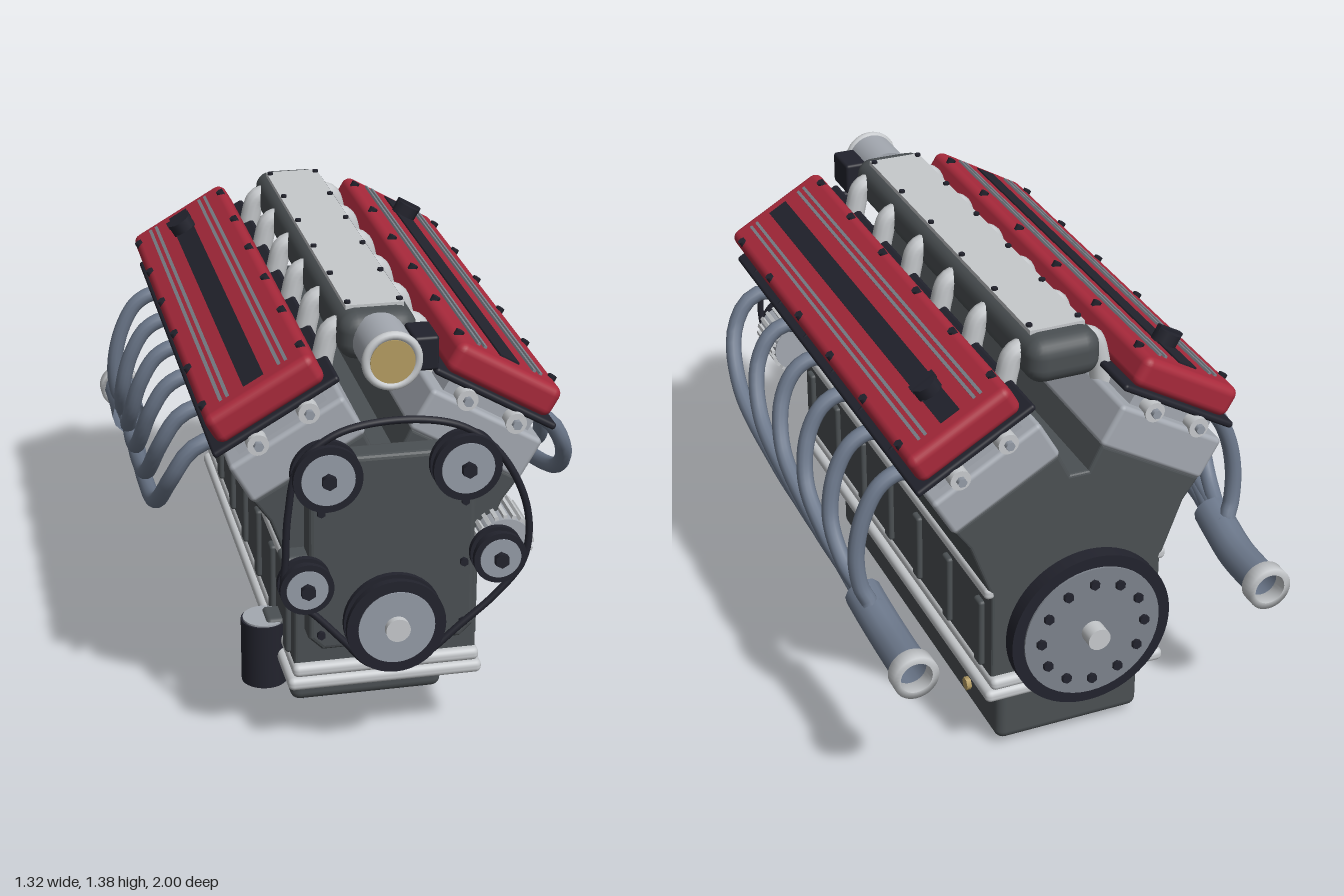
import * as THREE from 'three';
import { RoundedBoxGeometry } from 'three/addons/geometries/RoundedBoxGeometry.js';

const mat = (name, color, side = THREE.FrontSide) => {
  const m = new THREE.MeshStandardMaterial({ color, side });
  m.name = name;
  return m;
};

export function createModel() {
  const red = mat('coverRed', 0xa8293b);
  const iron = mat('castIron', 0x4b5053);
  const alloy = mat('headAlloy', 0xa4a9b1);
  const silver = mat('brightSilver', 0xc6c9cc);
  const steel = mat('pulleySteel', 0x949ba6);
  const pipe = mat('exhaustSteel', 0x6c788b, THREE.DoubleSide);
  const black = mat('rubberBlack', 0x22232d);
  const gold = mat('brass', 0xb59d62);
  const wheel = mat('flywheelGrey', 0x7d838c);

  const engine = new THREE.Group();
  engine.name = 'engine';

  // Helpers
  const add = (parent, name, geo, material, x = 0, y = 0, z = 0) => {
    const m = new THREE.Mesh(geo, material);
    m.name = name;
    m.position.set(x, y, z);
    parent.add(m);
    return m;
  };
  const sub = (name, parent = engine) => {
    const g = new THREE.Group();
    g.name = name;
    parent.add(g);
    return g;
  };
  const rbox = (w, h, d, r) => new RoundedBoxGeometry(w, h, d, 3, r);
  const box = (w, h, d) => new THREE.BoxGeometry(w, h, d);
  const rod = (r, len, seg = 32, r2 = r) => new THREE.CylinderGeometry(r, r2, len, seg);
  const rodZ = (r, len, seg = 32, r2 = r) => rod(r, len, seg, r2).rotateX(Math.PI / 2);
  const rodX = (r, len, seg = 32) => rod(r, len, seg).rotateZ(Math.PI / 2);
  const tube = (pts, r, seg = 32, closed = false) => new THREE.TubeGeometry(
    new THREE.CatmullRomCurve3(pts.map(p => new THREE.Vector3(...p)), closed), seg, r, 12, closed);
  const extrude = (pts, depth, bevel) => new THREE.ExtrudeGeometry(
    new THREE.Shape(pts.map(p => new THREE.Vector2(...p))),
    { depth: depth - 2 * bevel, bevelEnabled: bevel > 0, bevelSize: bevel, bevelThickness: bevel, bevelOffset: -bevel, bevelSegments: 3 })
    .translate(0, 0, bevel - depth / 2);
  const mirrored = half => [...half, ...half.map(([x, y]) => [-x, y]).reverse()];
  const sides = [1, -1];
  const row = (n, step) => Array.from({ length: n }, (_, i) => (i - (n - 1) / 2) * step);

  // Block with V-shaped deck, side ribs and rails
  const block = sub('block');
  const half = [[0.28, 0.3], [0.28, 0.6], [0.35, 0.79], [0.4, 0.86], [0.07, 1.05], [0.03, 0.97]];
  add(block, 'crankcase', extrude(mirrored(half), 1.67, 0.01), iron);
  for (const s of sides) {
    add(block, 'sideRail', rbox(0.04, 0.04, 1.67, 0.015), silver, s * 0.28, 0.612, 0);
    for (const z of row(7, 0.252)) {
      add(block, 'sideRib', rbox(0.03, 0.235, 0.05, 0.01), iron, s * 0.282, 0.435, z);
      add(block, 'panBolt', rod(0.013, 0.025, 6), black, s * 0.27, 0.21, z);
    }
  }
  add(block, 'upperSumpRail', rbox(0.575, 0.042, 1.72, 0.018), silver, 0, 0.29, 0);
  add(block, 'lowerSumpRail', rbox(0.6, 0.042, 1.7, 0.018), silver, 0, 0.24, 0);
  add(block, 'railGasket', box(0.54, 0.03, 1.62), iron, 0, 0.265, 0);

  // Oil pan with cooling fins, drain plug and filter
  const pan = sub('oilPan');
  add(pan, 'sump', rbox(0.485, 0.2, 1.385, 0.03), iron, 0, 0.125, -0.108);
  for (const x of row(7, 0.063)) add(pan, 'sumpFin', box(0.012, 0.04, 1.28), alloy, x, 0.02, -0.11);
  add(pan, 'drainPlug', rodX(0.022, 0.02, 6), gold, 0.248, 0.1, -0.575);
  add(pan, 'oilFilter', rod(0.072, 0.21), black, -0.33, 0.24, 0.595);
  add(pan, 'filterCap', rod(0.066, 0.012), alloy, -0.33, 0.345, 0.595);
  add(pan, 'filterBracket', rbox(0.1, 0.07, 0.1, 0.015), iron, -0.28, 0.325, 0.595);

  // Cylinder banks, each built upright and tilted outward
  const tilt = Math.PI / 6;
  for (const s of sides) {
    const bank = sub(s > 0 ? 'leftBank' : 'rightBank');
    bank.position.set(s * 0.355, 1.165, 0);
    bank.rotation.z = -s * tilt;
    add(bank, 'valveCover', rbox(0.365, 0.1, 1.64, 0.028), red);
    add(bank, 'coverGasket', rbox(0.425, 0.022, 1.655, 0.01), black, 0, -0.058, 0);
    add(bank, 'cylinderHead', rbox(0.39, 0.14, 1.68, 0.015), alloy, 0, -0.177, 0);
    add(bank, 'camCarrier', box(0.3, 0.06, 1.6), alloy, 0, -0.09, 0);
    add(bank, 'coverStripe', box(0.068, 0.008, 1.52), black, 0, 0.051, 0);
    for (const x of [-0.11, -0.087, 0.087, 0.11])
      add(bank, 'coverRib', box(0.01, 0.012, 1.52), wheel, x, 0.051, 0);
    for (const x of [-1, 1]) {
      add(bank, 'camshaftEnd', rodZ(0.032, 1.69, 20), silver, s * x * 0.086, -0.093, 0);
      add(bank, 'camNut', rodZ(0.015, 1.72, 6), steel, s * x * 0.086, -0.093, 0);
      for (const z of row(6, 0.288))
        add(bank, 'coverBolt', rod(0.014, 0.03, 6), black, x * 0.165, 0.043, z);
    }
    add(bank, 'oilCap', rod(0.042, 0.045, 10), black, 0, 0.07, -0.6);
    add(bank, 'oilCapGrip', box(0.085, 0.02, 0.02), black, 0, 0.09, -0.6);

    // Ignition leads, exhaust headers and intake runners for each cylinder
    const exhaust = sub(s > 0 ? 'leftExhaust' : 'rightExhaust');
    const intake = sub(s > 0 ? 'leftRunners' : 'rightRunners');
    row(6, 0.252).forEach((z, i) => {
      const d = -0.68 - z, a = i / 6 * Math.PI * 2;
      const ex = 0.59 + 0.02 * Math.cos(a), ey = 0.535 + 0.02 * Math.sin(a);
      add(exhaust, 'headerPipe', tube([
        [s * 0.43, 0.95, z], [s * 0.485, 0.975, z], [s * 0.55, 0.945, z], [s * 0.605, 0.85, z + 0.02 * d],
        [s * 0.633, 0.72, z + 0.12 * d], [s * 0.625, 0.615, z + 0.4 * d],
        [s * 0.605, 0.565, z + 0.75 * d], [s * ex, ey, -0.68]], 0.026, 40), pipe);
      const flange = add(exhaust, 'headerFlange', rbox(0.02, 0.05, 0.075, 0.008), black, s * 0.463, 0.965, z);
      flange.rotation.z = -s * tilt;
      add(exhaust, 'ignitionLead', tube([
        [s * 0.36, 1.03, z + 0.05], [s * 0.41, 1.065, z + 0.05], [s * 0.47, 1.05, z + 0.05], [s * 0.5, 1.02, z + 0.05]], 0.006, 12), black);
      add(intake, 'intakeRunner', tube([
        [s * 0.07, 1.31, z], [s * 0.125, 1.295, z], [s * 0.148, 1.23, z], [s * 0.165, 1.1, z]], 0.034, 20), silver);
    });
    add(exhaust, 'collector', tube([
      [s * 0.595, 0.545, -0.58], [s * 0.59, 0.525, -0.66], [s * 0.583, 0.503, -0.78], [s * 0.583, 0.5, -0.98]], 0.058, 24), pipe);
    const lip = [[0.05, -0.025], [0.071, -0.025], [0.071, 0.025], [0.05, 0.025], [0.05, -0.025]];
    add(exhaust, 'outletFlange', new THREE.LatheGeometry(lip.map(p => new THREE.Vector2(...p)), 32)
      .rotateX(Math.PI / 2), silver, s * 0.583, 0.5, -0.965);
  }

  // Intake plenum with bright top plate and throttle body
  const plenum = sub('intakePlenum');
  add(plenum, 'plenumBody', rbox(0.235, 0.145, 1.47, 0.055), iron, 0, 1.293, -0.005);
  add(plenum, 'plenumPlate', box(0.175, 0.014, 1.31), silver, 0, 1.367, -0.005);
  for (const s of sides) for (const z of row(6, 0.252))
    add(plenum, 'plateBolt', rod(0.01, 0.016, 6), black, s * 0.078, 1.374, z);
  add(plenum, 'throttleBody', rodZ(0.082, 0.18), alloy, 0, 1.285, 0.795);
  add(plenum, 'throttleLip', new THREE.TorusGeometry(0.077, 0.013, 12, 40), silver, 0, 1.285, 0.878);
  add(plenum, 'throttlePlate', rodZ(0.066, 0.008), gold, 0, 1.285, 0.884);
  add(plenum, 'throttleActuator', rbox(0.075, 0.105, 0.13, 0.01), black, 0.108, 1.285, 0.785);

  // Timing cover
  const front = sub('frontDrive');
  const coverHalf = [[0.21, 0.39], [0.25, 0.43], [0.25, 0.87], [0.17, 1.01]];
  add(front, 'timingCover', extrude(mirrored(coverHalf), 0.09, 0.015), iron, 0, 0, 0.868);
  for (const s of sides) for (const y of [0.445, 0.645, 0.845])
    add(front, 'timingBolt', rodZ(0.013, 0.02, 6), black, s * 0.215, y, 0.917);

  // Pulleys: position, radius
  const pulleys = [[0, 0.48, 0.15], [0.205, 0.975, 0.102], [-0.205, 0.975, 0.102], [-0.267, 0.63, 0.08], [0.31, 0.675, 0.08]];
  pulleys.forEach(([x, y, r], i) => {
    const p = sub('pulley', front);
    p.position.set(x, y, 0.945);
    for (const z of [-0.022, 0.022]) add(p, 'pulleyRim', rodZ(r, 0.018, 40), black, 0, 0, z);
    add(p, 'pulleyGroove', rodZ(r - 0.012, 0.05, 40), black);
    add(p, 'pulleyFace', rodZ(r * 0.77, 0.008, 40), steel, 0, 0, 0.031);
    add(p, 'pulleyShaft', rodZ(0.028, 0.09, 16), steel, 0, 0, -0.06);
    if (i) add(p, 'pulleyNut', rodZ(0.023, 0.026, 6), black, 0, 0, 0.042);
    else add(p, 'crankNose', rodZ(0.037, 0.04, 24), silver, 0, 0, 0.035);
  });
  add(front, 'driveBelt', tube([
    [0, 1.13], [-0.18, 1.1], [-0.285, 1.01], [-0.316, 0.87], [-0.325, 0.72], [-0.325, 0.61], [-0.24, 0.53], [-0.15, 0.43], [-0.08, 0.352],
    [0, 0.33], [0.09, 0.36], [0.2, 0.45], [0.31, 0.545], [0.385, 0.64], [0.403, 0.75], [0.375, 0.88], [0.29, 1.02], [0.18, 1.1]
  ].map(([x, y]) => [x, y, 0.945]), 0.011, 120, true), black);

  // Finned alternator and water pump bracket
  const alternator = sub('alternator');
  alternator.position.set(0.345, 0.68, 0.81);
  add(alternator, 'alternatorBody', rodZ(0.08, 0.175), alloy);
  for (let i = 0; i < 20; i++) {
    const a = i / 20 * Math.PI * 2;
    add(alternator, 'alternatorFin', box(0.018, 0.012, 0.165), silver, 0.082 * Math.cos(a), 0.082 * Math.sin(a), 0).rotation.z = a;
  }
  add(front, 'accessoryBracket', rbox(0.12, 0.14, 0.09, 0.02), iron, -0.27, 0.63, 0.86);

  // Flywheel with ring gear, bolt circle and output shaft
  const fly = sub('flywheel');
  fly.position.set(0, 0.48, -0.92);
  add(fly, 'ringGear', rodZ(0.26, 0.048, 64), black);
  add(fly, 'flywheelFace', rodZ(0.222, 0.008, 48), wheel, 0, 0, -0.026);
  add(fly, 'flywheelInnerFace', rodZ(0.222, 0.008, 48), wheel, 0, 0, 0.026);
  for (let i = 0; i < 12; i++) {
    const a = i / 12 * Math.PI * 2;
    add(fly, 'flywheelBolt', rodZ(0.016, 0.018, 6), black, 0.17 * Math.cos(a), 0.17 * Math.sin(a), -0.034);
  }
  add(fly, 'outputShaft', rodZ(0.036, 0.18, 24), silver, 0, 0, 0.01);
  return engine;
}
